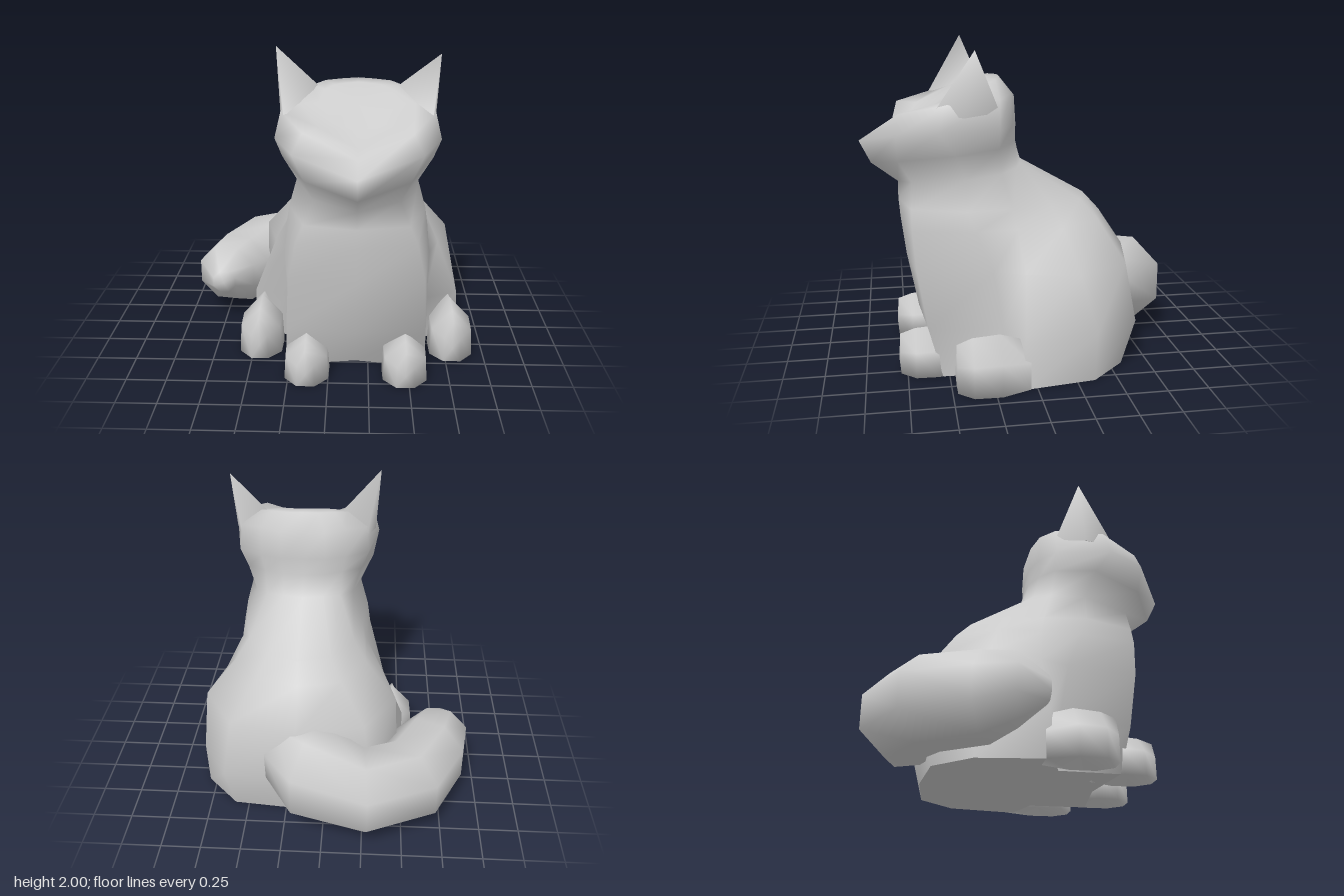
import * as THREE from 'three';

const MID = 0.17; // the cat's own centre line in x

// Skin closed rings of [x, y, z]; flat cap at the start, smooth cap at the end point
function loft(rings, tip) {
  const n = rings[0].length, pos = [], idx = [];
  rings.forEach(r => r.forEach(p => pos.push(...p)));
  for (let i = 0; i < rings.length - 1; i++) {
    for (let j = 0; j < n; j++) {
      const a = i * n + j, b = i * n + (j + 1) % n;
      idx.push(a, b, b + n, a, b + n, a + n);
    }
  }
  const e = (rings.length - 1) * n, c = pos.length / 3;
  pos.push(...tip);
  for (let j = 0; j < n; j++) idx.push(e + j, e + (j + 1) % n, c);
  const s = pos.length / 3;
  rings[0].forEach(p => pos.push(...p));
  pos.push(...[0, 1, 2].map(k => rings[0].reduce((sum, p) => sum + p[k], 0) / n));
  for (let j = 0; j < n; j++) idx.push(s + (j + 1) % n, s + j, s + n);
  const g = new THREE.BufferGeometry();
  g.setAttribute('position', new THREE.Float32BufferAttribute(pos, 3));
  g.setIndex(idx);
  g.computeVertexNormals();
  return g;
}

// Complete a half outline (front centre round to back centre) by mirroring it
const mirror = half => [...half, ...half.slice(1, -1).reverse().map(([x, y, z]) => [-x, y, z])];

// Five-sided paw pointing along +z, with a ridge on top
function pawGeometry(z0, z1, w, h) {
  const section = (z, k, hk) => [[-w, 0], [w, 0], [w * 0.93, 0.58], [0, 1], [-w * 0.93, 0.58]]
    .map(([x, y]) => [x * k, y * h * hk, z]);
  return loft([
    section(z0, 0.5, 0.85), section(z0 + (z1 - z0) * 0.4, 1, 1),
    section(z1 - 0.1, 0.97, 0.96), section(z1 - 0.01, 0.4, 0.85)], [0, h * 0.3, z1]);
}

// Ear: a pyramid rising from the corner of the head, its base sunk inside
function earGeometry(side, tipY) {
  const base = [[0.42, 1.58, 0.58], [0.46, 1.58, 0.38], [0.4, 1.6, 0.18], [0.24, 1.75, 0.24]];
  const ring = base.map(([x, y, z]) => [x * side, y, z]);
  if (side < 0) ring.reverse();
  return loft([ring], [0.485 * side, tipY, 0.33]);
}

// Tail: tapered octagonal sweep along a level curve
function tailGeometry() {
  const path = [ // x, y, z, radius
    [0.25, 0.4, -0.5, 0.22], [0.06, 0.38, -0.67, 0.32], [-0.26, 0.29, -0.745, 0.275],
    [-0.53, 0.28, -0.62, 0.275], [-0.68, 0.28, -0.33, 0.26], [-0.745, 0.31, -0.16, 0.21],
    [-0.74, 0.32, 0.01, 0.08]];
  const up = new THREE.Vector3(0, 1, 0);
  const rings = path.map(([x, y, z, r], i) => {
    const a = path[Math.max(i - 1, 0)], b = path[Math.min(i + 1, path.length - 1)];
    const side = new THREE.Vector3(b[0] - a[0], 0, b[2] - a[2]).normalize();
    side.crossVectors(up, side);
    return Array.from({ length: 8 }, (_, k) => {
      const t = (k + 0.5) * Math.PI / 4, c = r * Math.cos(t);
      return [x + side.x * c, Math.max(0, y + r * Math.sin(t)), z + side.z * c];
    });
  });
  return loft(rings, [-0.74, 0.32, 0.03]);
}

// Torso, neck and head as one continuous skin
function bodyGeometry() {
  // Chest and haunches: height, then half outline as [x, z]
  const torso = [
    [0, [[0, 0.48], [0.44, 0.54], [0.45, 0.16], [0.69, 0.08], [0.63, -0.36], [0.42, -0.58], [0, -0.62]]],
    [0.3, [[0, 0.66], [0.43, 0.62], [0.46, 0.17], [0.68, 0.07], [0.64, -0.37], [0.47, -0.65], [0, -0.7]]],
    [0.66, [[0, 0.73], [0.41, 0.68], [0.47, 0.23], [0.54, 0.05], [0.62, -0.27], [0.42, -0.59], [0, -0.68]]],
    [0.9, [[0, 0.76], [0.36, 0.7], [0.44, 0.33], [0.42, 0.08], [0.42, -0.2], [0.27, -0.45], [0, -0.52]]],
    [1.02, [[0, 0.77], [0.31, 0.7], [0.42, 0.37], [0.39, 0.1], [0.34, -0.14], [0.2, -0.35], [0, -0.41]]],
  ].map(([y, half]) => half.map(([x, z]) => [x, y, z]));

  // Neck, jaw, cheeks with pointed muzzle, brow rim, then the gently dished face
  const head = [
    [[0, 1.13, 0.77], [0.25, 1.17, 0.69], [0.37, 1.2, 0.38], [0.32, 1.22, 0.16], [0.24, 1.24, 0.06], [0.13, 1.25, 0.02], [0, 1.25, 0]],
    [[0, 1.25, 0.93], [0.3, 1.31, 0.77], [0.45, 1.36, 0.44], [0.37, 1.38, 0.18], [0.25, 1.39, 0.1], [0.13, 1.39, 0.05], [0, 1.39, 0.04]],
    [[0, 1.39, 1], [0.37, 1.47, 0.78], [0.485, 1.5, 0.54], [0.42, 1.5, 0.18], [0.27, 1.5, 0.09], [0.14, 1.5, 0.05], [0, 1.5, 0.05]],
    [[0, 1.45, 0.81], [0.31, 1.59, 0.76], [0.45, 1.65, 0.5], [0.4, 1.67, 0.18], [0.27, 1.69, 0.1], [0.14, 1.67, 0.06], [0, 1.67, 0.06]],
    [[0, 1.49, 0.72], [0.22, 1.59, 0.64], [0.34, 1.68, 0.42], [0.28, 1.75, 0.24], [0.2, 1.77, 0.18], [0.1, 1.775, 0.15], [0, 1.78, 0.14]],
    [[0, 1.56, 0.6], [0.14, 1.6, 0.56], [0.23, 1.68, 0.41], [0.2, 1.74, 0.3], [0.14, 1.76, 0.26], [0.07, 1.765, 0.24], [0, 1.77, 0.23]],
  ];
  return loft([...torso, ...head].map(mirror), [0, 1.68, 0.42]);
}

export function createModel() {
  const cat = new THREE.Group();
  cat.name = 'sittingCat';
  const material = new THREE.MeshStandardMaterial({ color: 0xcccccc });
  const add = (name, geometry, x = MID) => {
    const mesh = new THREE.Mesh(geometry, material);
    mesh.name = name;
    mesh.position.x = x;
    cat.add(mesh);
  };

  add('bodyAndHead', bodyGeometry());
  add('tail', tailGeometry(), 0);

  // Paired parts
  for (const [label, s] of [['left', 1], ['right', -1]]) {
    add(label + 'Ear', earGeometry(s, s > 0 ? 1.96 : 2));
    add(label + 'FrontPaw', pawGeometry(0.4, 0.8, 0.14, 0.28), MID + s * 0.305);
    add(label + 'RearPaw', pawGeometry(0.04, 0.48, 0.14, 0.33), MID + s * 0.62);
  }
  return cat;
}
